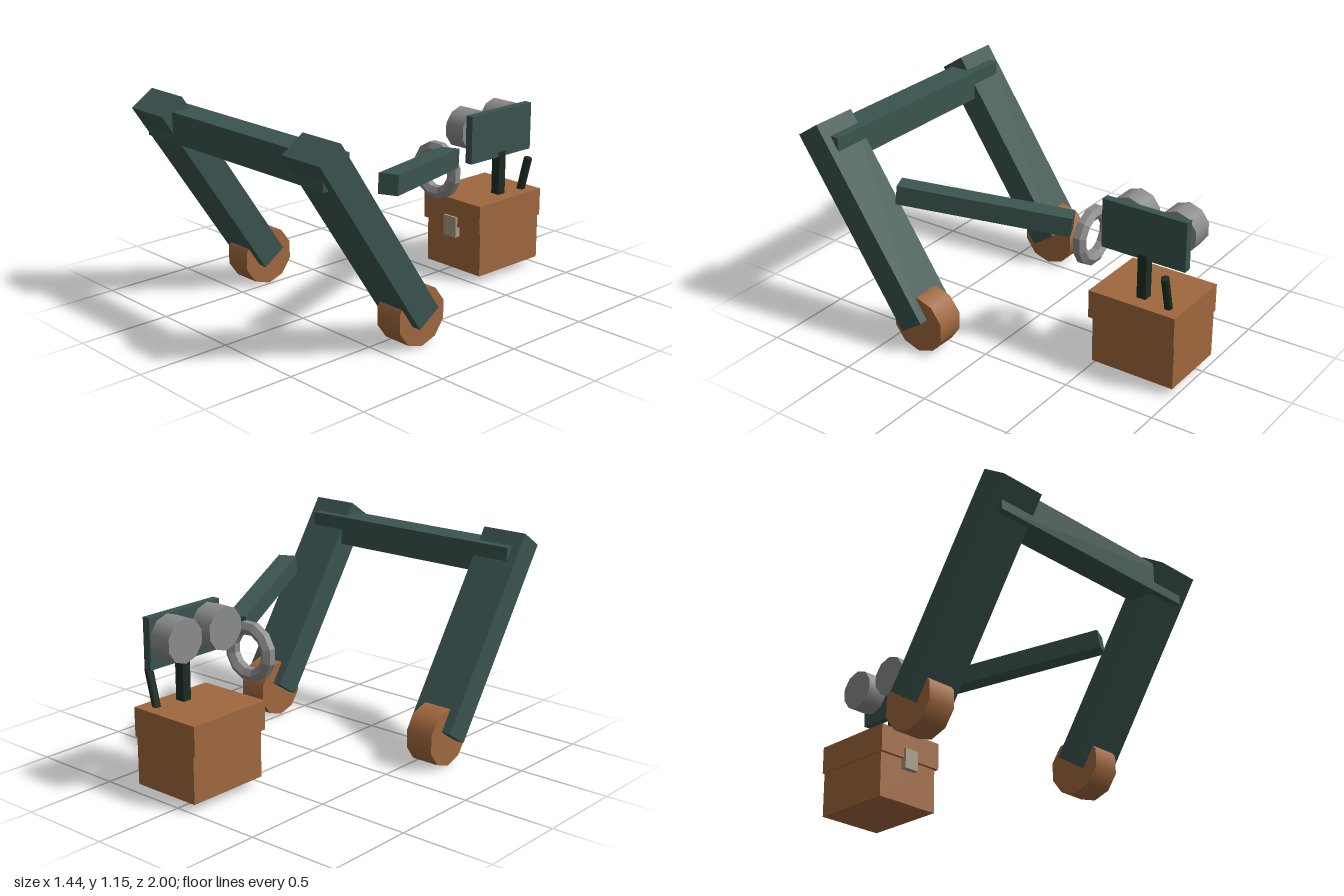
import * as THREE from 'three';

const paint = (name, color) => {
  const m = new THREE.MeshStandardMaterial({ color });
  m.name = name;
  return m;
};

export function createModel() {
  const green = paint('slate green', 0x3a544f);
  const darkGreen = paint('dark green', 0x1c2c22);
  const brown = paint('copper brown', 0xa0683e);
  const grey = paint('steel grey', 0x8c8c8c);
  const beige = paint('latch beige', 0xa59b82);

  const model = new THREE.Group();
  model.name = 'model';

  const add = (name, geometry, material, x, y, z) => {
    const mesh = new THREE.Mesh(geometry, material);
    mesh.name = name;
    mesh.position.set(x, y, z);
    model.add(mesh);
    return mesh;
  };
  // Box given by its lower and upper limits on each axis
  const block = (name, material, [x0, x1], [y0, y1], [z0, z1]) =>
    add(name, new THREE.BoxGeometry(x1 - x0, y1 - y0, z1 - z0), material,
      (x0 + x1) / 2, (y0 + y1) / 2, (z0 + z1) / 2);
  // Ten-sided drum lying along x, with a corner at the top
  const drum = (radius, width) =>
    new THREE.CylinderGeometry(radius, radius, width, 10, 1, false, Math.PI / 2).rotateZ(Math.PI / 2);

  // Slanted legs and their wheels
  for (const [side, s] of [['left', 1], ['right', -1]]) {
    const leg = add(side + 'Leg', new THREE.BoxGeometry(0.26, 1.136, 0.15), green, s * 0.59, 0.635, 0.62);
    leg.rotation.x = 0.585;
    add(side + 'Wheel', drum(0.157, 0.157), brown, s * 0.59, 0.157, 0.306);
  }
  block('crossbar', green, [-0.67, 0.67], [0.925, 1.083], [0.778, 0.935]);

  // Arm from the left leg to the ring
  const start = new THREE.Vector3(0.59, 0.846, 0.46);
  const end = new THREE.Vector3(0.217, 0.74, -0.345);
  const middle = start.clone().add(end).multiplyScalar(0.5);
  const arm = add('arm', new THREE.BoxGeometry(0.102, 0.102, start.distanceTo(end)), green,
    middle.x, middle.y, middle.z);
  arm.lookAt(end);

  // Faceted ring with a hexagonal section
  const section = [];
  for (let i = 0; i <= 6; i++) {
    const a = Math.PI / 6 + (i * Math.PI) / 3;
    section.push(new THREE.Vector2(0.126 + 0.0375 * Math.cos(a), 0.0375 * Math.sin(a)));
  }
  const ring = new THREE.LatheGeometry(section, 12, Math.PI / 12).rotateX(Math.PI / 2).toNonIndexed();
  ring.computeVertexNormals();
  add('ring', ring, grey, 0.088, 0.635, -0.383);

  // Chest with overhanging lid and latch
  block('chestBody', brown, [-0.106, 0.288], [0.043, 0.3], [-0.988, -0.517]);
  block('chestLid', brown, [-0.118, 0.3], [0.295, 0.449], [-0.99, -0.498]);
  block('latch', beige, [0.044, 0.135], [0.235, 0.35], [-0.52, -0.484]);

  // Upright panel on its post, with two drums beside it
  block('post', darkGreen, [0.17, 0.224], [0.44, 0.69], [-0.779, -0.729]);
  block('panel', green, [0.172, 0.216], [0.664, 0.927], [-0.988, -0.515]);
  for (const [name, z] of [['frontDrum', -0.621], ['backDrum', -0.892]]) {
    add(name, drum(0.114, 0.124), grey, 0.088, 0.822, z);
  }

  // Tilted lever
  const lever = add('lever', new THREE.CylinderGeometry(0.023, 0.023, 0.21, 6), darkGreen, 0.246, 0.534, -0.912);
  lever.rotation.z = -0.25;

  return model;
}
